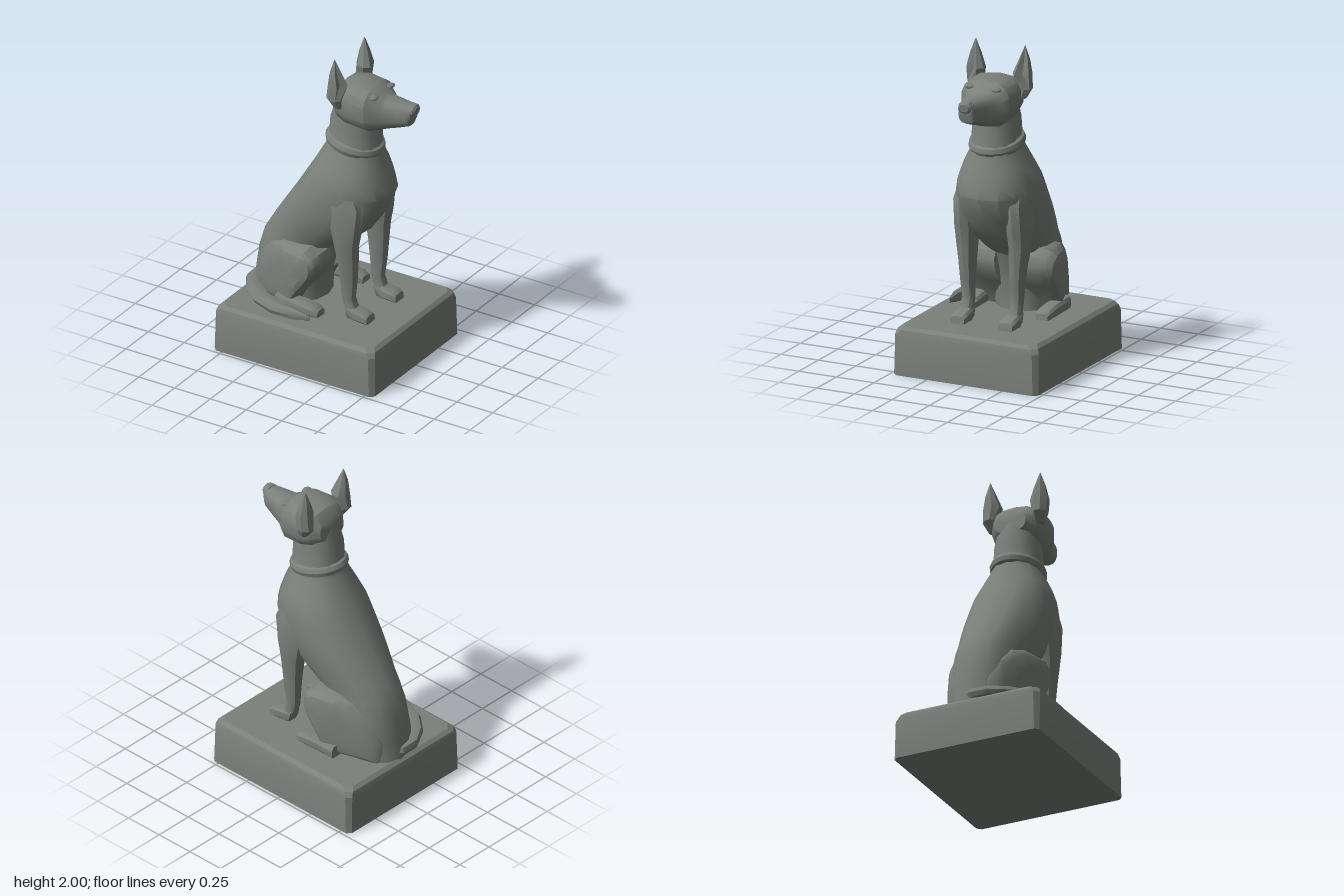
import * as THREE from 'three';
import { toCreasedNormals, mergeVertices } from 'three/addons/utils/BufferGeometryUtils.js';

const stone = new THREE.MeshStandardMaterial({ color: 0x7b807b });
stone.name = 'grey stone';

// Skin closed rings of [x, y, z] points and cap both ends
function skin(rings, crease = 0.6) {
  const n = rings[0].length, pos = [], idx = [];
  rings.forEach(r => r.forEach(p => pos.push(...p)));
  for (let i = 0; i < rings.length - 1; i++) {
    for (let j = 0; j < n; j++) {
      const a = i * n + j, b = i * n + (j + 1) % n;
      idx.push(a, b, a + n, b, b + n, a + n);
    }
  }
  [0, rings.length - 1].forEach((r, end) => {
    const c = [0, 1, 2].map(k => rings[r].reduce((s, p) => s + p[k], 0) / n);
    const m = pos.length / 3;
    pos.push(...c);
    for (let j = 0; j < n; j++) {
      const a = r * n + j, b = r * n + (j + 1) % n;
      if (end) idx.push(a, b, m); else idx.push(b, a, m);
    }
  });
  // Turn the faces outward when the enclosed volume is negative
  const P = i => new THREE.Vector3().fromArray(pos, i * 3);
  let volume = 0;
  for (let i = 0; i < idx.length; i += 3) volume += P(idx[i]).dot(P(idx[i + 1]).cross(P(idx[i + 2])));
  if (volume < 0) idx.reverse();
  const geo = new THREE.BufferGeometry();
  geo.setAttribute('position', new THREE.Float32BufferAttribute(pos, 3));
  geo.setIndex(idx);
  return toCreasedNormals(geo, crease);
}

// Rounded ring spanned by two half-axes; dent pulls in the point on the first axis
function ring(c, u, v, n = 14, power = 2.3, dent = 1) {
  const pts = [];
  const soft = t => Math.sign(t) * Math.abs(t) ** (2 / power);
  for (let j = 0; j < n; j++) {
    const t = j / n * Math.PI * 2, k = j === 0 ? dent : 1;
    const a = soft(Math.cos(t)) * k, b = soft(Math.sin(t)) * k;
    pts.push(c.map((q, i) => q + u[i] * a + v[i] * b));
  }
  return pts;
}

// Ring between two points in the side plane, with a half-width across z
const span = (x1, y1, x2, y2, w, z = 0, n = 14, power = 2.3) =>
  ring([(x1 + x2) / 2, (y1 + y2) / 2, z], [(x2 - x1) / 2, (y2 - y1) / 2, 0], [0, 0, w], n, power);

function createModel() {
  const group = new THREE.Group();
  const add = (name, geo, parent = group) => {
    const mesh = new THREE.Mesh(geo, stone);
    mesh.name = name;
    parent.add(mesh);
    return mesh;
  };

  // Plinth with worn, chamfered edges
  const slab = (y, a, b, c) => [[a, b - c], [a - c, b], [c - a, b], [-a, b - c], [-a, c - b], [c - a, -b], [a - c, -b], [a, c - b]]
    .map(([x, z]) => [x - 0.005, y, z]);
  add('plinth', skin([slab(0, 0.56, 0.48, 0.025), slab(0.25, 0.556, 0.477, 0.03),
    slab(0.28, 0.547, 0.467, 0.035), slab(0.3, 0.525, 0.445, 0.04)], 0.4));

  // Neck, chest and sloping back: back point, front point, half-width
  add('body', skin([
    [0.03, 1.70, 0.27, 1.64, 0.12], [-0.015, 1.55, 0.29, 1.53, 0.138], [-0.025, 1.42, 0.30, 1.37, 0.145],
    [-0.04, 1.38, 0.31, 1.33, 0.16], [-0.10, 1.27, 0.335, 1.26, 0.205], [-0.155, 1.18, 0.36, 1.18, 0.238],
    [-0.205, 1.10, 0.38, 1.10, 0.247], [-0.295, 0.96, 0.325, 0.95, 0.245], [-0.36, 0.86, 0.24, 0.83, 0.23],
    [-0.42, 0.765, 0.12, 0.73, 0.205], [-0.46, 0.695, 0.01, 0.66, 0.195], [-0.50, 0.56, -0.03, 0.55, 0.2],
    [-0.52, 0.42, -0.06, 0.42, 0.2], [-0.54, 0.29, -0.06, 0.29, 0.19],
  ].map(r => span(...r))));

  // Head from the skull to the tip of the muzzle: top point, bottom point, half-width
  add('head', skin([
    [0.035, 1.75, 0.02, 1.62, 0.1], [0.08, 1.805, 0.08, 1.57, 0.15], [0.16, 1.825, 0.15, 1.545, 0.17],
    [0.285, 1.815, 0.285, 1.53, 0.162], [0.335, 1.775, 0.335, 1.545, 0.125], [0.37, 1.757, 0.39, 1.565, 0.093],
    [0.46, 1.753, 0.46, 1.588, 0.073], [0.53, 1.75, 0.525, 1.612, 0.055], [0.545, 1.748, 0.54, 1.655, 0.046],
  ].map(r => span(...r, 0, 14, 2.8))));
  add('nose', skin([[0.515, 1.757, 0.515, 1.68, 0.045], [0.555, 1.755, 0.55, 1.68, 0.042],
    [0.566, 1.74, 0.56, 1.69, 0.03]].map(r => span(...r, 0, 10))));

  // Collar, tilted down toward the chest
  const collar = new THREE.TorusGeometry(0.155, 0.032, 8, 20);
  collar.rotateX(Math.PI / 2).scale(1, 1.15, 0.9).rotateZ(-0.2).translate(0.132, 1.402, 0);
  collar.deleteAttribute('uv');
  collar.deleteAttribute('normal');
  add('collar', toCreasedNormals(mergeVertices(collar), 0.6));

  // Outline of the folded hind leg, seen from the side
  const thigh = [[-0.33, 0.68], [-0.24, 0.71], [-0.06, 0.71], [0.0, 0.67], [0.02, 0.62], [0.01, 0.56],
    [-0.05, 0.47], [-0.12, 0.38], [-0.16, 0.29], [-0.49, 0.29], [-0.49, 0.42], [-0.43, 0.58]];

  [['left', -1], ['right', 1]].forEach(([label, s]) => {
    // Straight front leg: y, back x, front x, inner z, outer z
    add(label + 'FrontLeg', skin([
      [1.2, 0.05, 0.22, 0.13, 0.215], [1.05, 0.03, 0.30, 0.1, 0.245], [0.88, 0.08, 0.275, 0.1, 0.248],
      [0.78, 0.105, 0.255, 0.11, 0.24], [0.66, 0.125, 0.25, 0.115, 0.222], [0.54, 0.138, 0.242, 0.12, 0.21],
      [0.43, 0.148, 0.228, 0.122, 0.2], [0.37, 0.165, 0.25, 0.12, 0.2], [0.29, 0.2, 0.29, 0.115, 0.205],
    ].map(([y, x1, x2, z1, z2]) => span(x1, y, x2, y, (z2 - z1) / 2, s * (z1 + z2) / 2, 10))));
    add(label + 'FrontPaw', skin([[0.17, 0.40, 0.2, 0.29, 0.04], [0.24, 0.378, 0.24, 0.29, 0.048],
      [0.31, 0.365, 0.31, 0.29, 0.054], [0.335, 0.348, 0.342, 0.29, 0.046]]
      .map(r => span(...r, s * 0.16, 10, 3))));

    // Haunch swells outward and thins toward the rump
    add(label + 'Haunch', skin([[0.08, 1], [0.2, 1], [0.26, 0.93], [0.29, 0.8], [0.302, 0.5]].map(([z, k]) =>
      thigh.map(([x, y]) => {
        const px = -0.16 + (x + 0.16) * k, py = 0.5 + (y - 0.5) * k;
        const thin = 1 - 0.42 * Math.min(1, Math.max(0, (-0.12 - px) / 0.36));
        return [px, py, s * z * thin];
      }))));
    add(label + 'HindPaw', skin([[-0.25, 0.38, -0.25, 0.29, 0.045], [-0.08, 0.375, -0.08, 0.29, 0.05],
      [0.01, 0.362, 0.01, 0.29, 0.052], [0.045, 0.34, 0.05, 0.29, 0.042]]
      .map(r => span(...r, s * 0.25, 10, 3))));

    // Pointed ear with a hollow facing forward and outward
    add(label + 'Ear', skin([
      [1.68, 0.11, 0.15, 0.03, 0.03, 1], [1.74, 0.09, 0.165, 0.055, 0.045, 0.9], [1.83, 0.105, 0.155, 0.057, 0.06, 0.3],
      [1.91, 0.095, 0.162, 0.036, 0.036, 0.3], [2.0, 0.09, 0.165, 0.002, 0.002, 1],
    ].map(([y, x, z, rx, rz, dent]) =>
      ring([x, y, s * z], [rx * 0.95, 0, s * rx * 0.3], [-rz * 0.3, 0, s * rz * 0.95], 8, 2, dent)), 0.4));

    // Brow ridge over the eye socket
    const brow = new THREE.SphereGeometry(1, 8, 6);
    brow.scale(0.03, 0.014, 0.04).rotateY(s * 0.5).translate(0.312, 1.775, s * 0.085);
    add(label + 'Brow', brow);
  });

  // Tail curled round on the plinth: x, z, half-width
  const tail = [[-0.46, -0.05, 0.03], [-0.508, 0.02, 0.042], [-0.505, 0.12, 0.045], [-0.44, 0.215, 0.052],
    [-0.34, 0.298, 0.055], [-0.2, 0.358, 0.047], [-0.06, 0.37, 0.028], [0.04, 0.367, 0.004]];
  add('tail', skin(tail.map(([x, z, w], i) => {
    const p = tail[Math.max(0, i - 1)], q = tail[Math.min(tail.length - 1, i + 1)];
    const dx = q[0] - p[0], dz = q[1] - p[1], d = Math.hypot(dx, dz);
    return ring([x, 0.334, z], [dz / d * w, 0, -dx / d * w], [0, Math.min(0.036, w + 0.01), 0], 8, 2.4);
  })));

  return group;
}

export { createModel };
